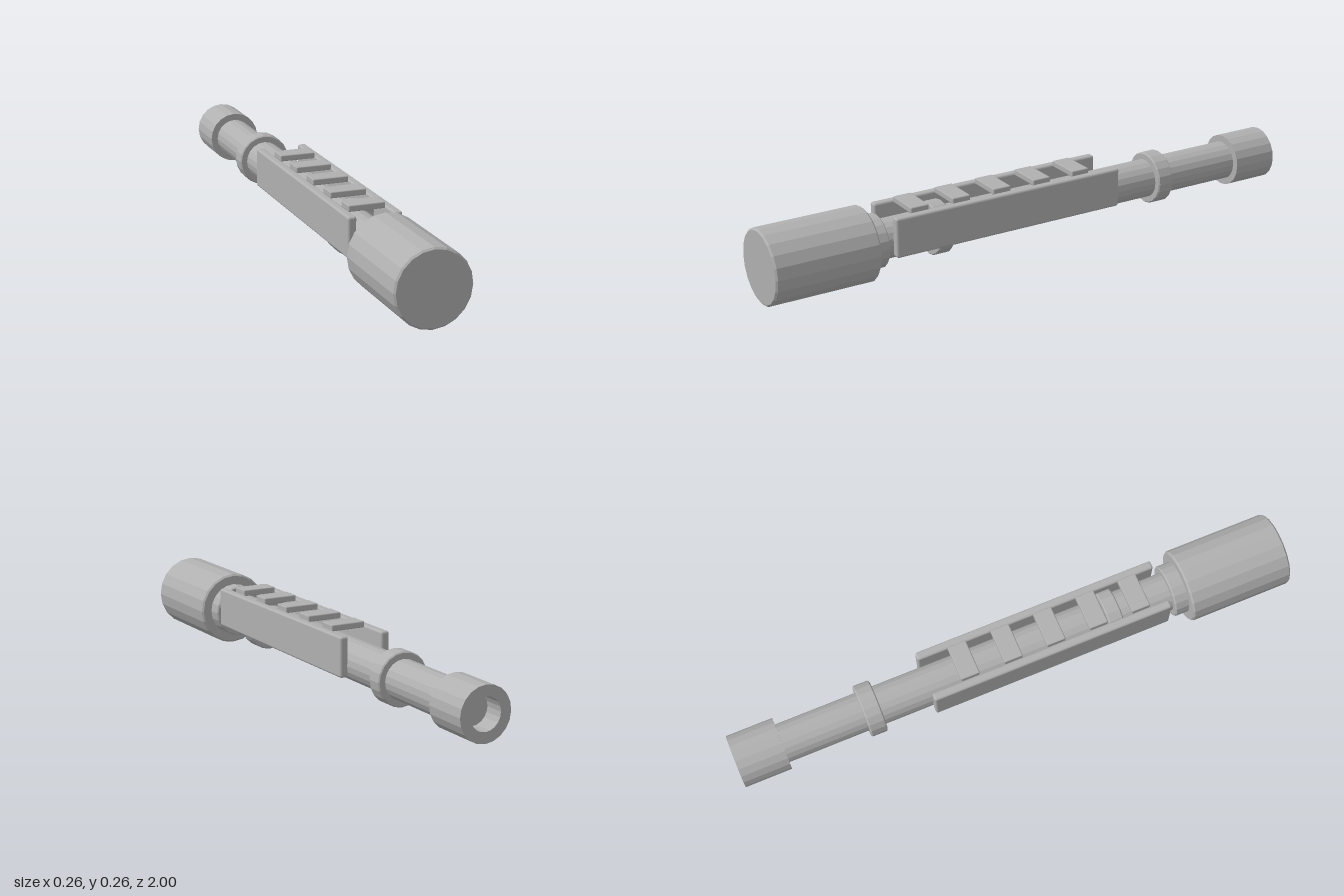
import * as THREE from 'three';
import { RoundedBoxGeometry } from 'three/addons/geometries/RoundedBoxGeometry.js';

const AXIS_Y = 0.129;
const SIDES = 20;

export function createModel() {
  const model = new THREE.Group();
  model.name = 'barrelAssembly';
  const grey = new THREE.MeshStandardMaterial({ color: 0xb0b0b0 });
  grey.name = 'grey';

  const add = (name, geometry, x, y, z) => {
    const mesh = new THREE.Mesh(geometry, grey);
    mesh.name = name;
    mesh.position.set(x, y, z);
    model.add(mesh);
  };

  // Faceted turned part along z; profile is [radius, z] from back to front
  const turned = (name, profile) => {
    const lathe = new THREE.LatheGeometry(profile.map(([r, z]) => new THREE.Vector2(r, z)), SIDES);
    const geometry = lathe.rotateX(Math.PI / 2).toNonIndexed();
    geometry.computeVertexNormals();
    add(name, geometry, 0, AXIS_Y, 0);
  };

  // Solid cylinder with small chamfers
  const drum = (name, r, z0, z1, b) =>
    turned(name, [[0, z0], [r - b, z0], [r, z0 + b], [r, z1 - b], [r - b, z1], [0, z1]]);

  drum('rearHousing', 0.129, 0.63, 1, 0.006);
  drum('housingCollar', 0.092, 0.58, 0.635, 0.004);
  drum('barrel', 0.068, -0.85, 0.6, 0.001);
  drum('lowerBand', 0.092, 0.34, 0.393, 0.004);
  drum('frontBand', 0.092, -0.547, -0.488, 0.004);

  // Muzzle with a blind bore
  turned('muzzle', [[0, -0.93], [0.055, -0.93], [0.055, -1], [0.092, -1], [0.092, -0.835], [0, -0.835]]);

  // Side rails
  for (const side of [-1, 1]) {
    add(side > 0 ? 'leftRail' : 'rightRail',
      new RoundedBoxGeometry(0.03, 0.138, 0.87, 2, 0.008), side * 0.078, 0.159, 0.122);
  }

  // Cross slats between the rails
  for (let i = 0; i < 5; i++) {
    add('slat' + (i + 1), new RoundedBoxGeometry(0.126, 0.022, 0.067, 1, 0.004), 0, 0.232, 0.454 - i * 0.1565);
  }
  return model;
}
